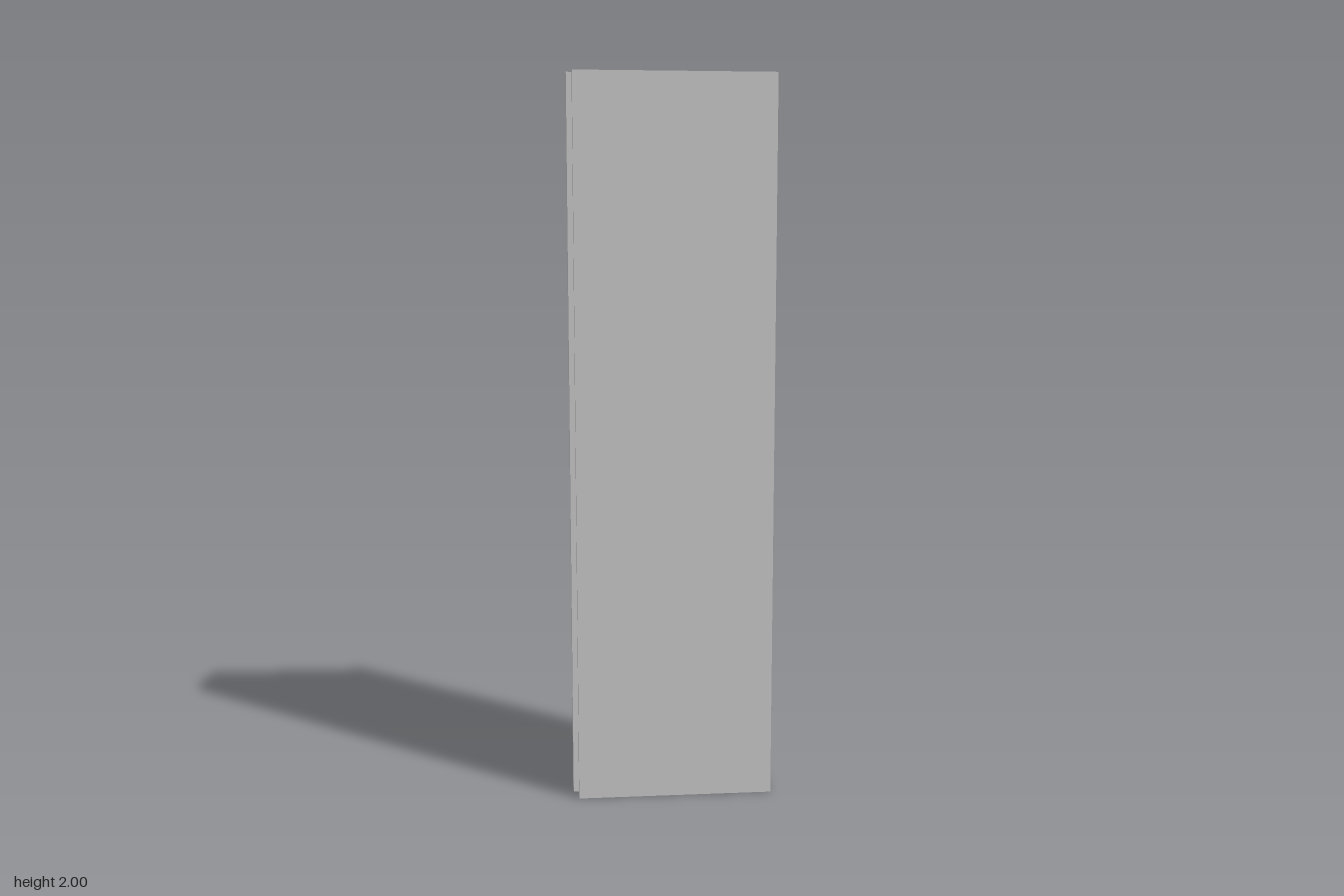
import * as THREE from 'three';

const HEIGHT = 2, X = 0.28, SHOULDER = -0.265, Z = 0.093, TONGUE = 0.044;

export function createModel() {
  const group = new THREE.Group();
  group.name = 'hollowPanel';
  const material = new THREE.MeshStandardMaterial({ color: 0xcccccc, side: THREE.DoubleSide });

  // One thin upright sheet between two plan points [x, z], facing outwards
  const addSheet = (name, [ax, az], [bx, bz]) => {
    const dx = bx - ax, dz = bz - az;
    const sheet = new THREE.Mesh(new THREE.PlaneGeometry(Math.hypot(dx, dz), HEIGHT), material);
    sheet.position.set((ax + bx) / 2, HEIGHT / 2, (az + bz) / 2);
    sheet.rotation.y = Math.atan2(-dz, dx);
    sheet.name = name;
    group.add(sheet);
  };

  // Plan outline of the open-ended shell, with a shallow tongue along the -x edge
  const outline = [
    ['frontWall', SHOULDER, Z],
    ['flatEdge', X, Z],
    ['backWall', X, -Z],
    ['backShoulder', SHOULDER, -Z],
    ['tongueBackSide', SHOULDER, -TONGUE],
    ['tongueFace', -X, -TONGUE],
    ['tongueFrontSide', -X, TONGUE],
    ['frontShoulder', SHOULDER, TONGUE],
  ];
  outline.forEach(([name, x, z], i) => {
    const [, nx, nz] = outline[(i + 1) % outline.length];
    addSheet(name, [x, z], [nx, nz]);
  });

  return group;
}
